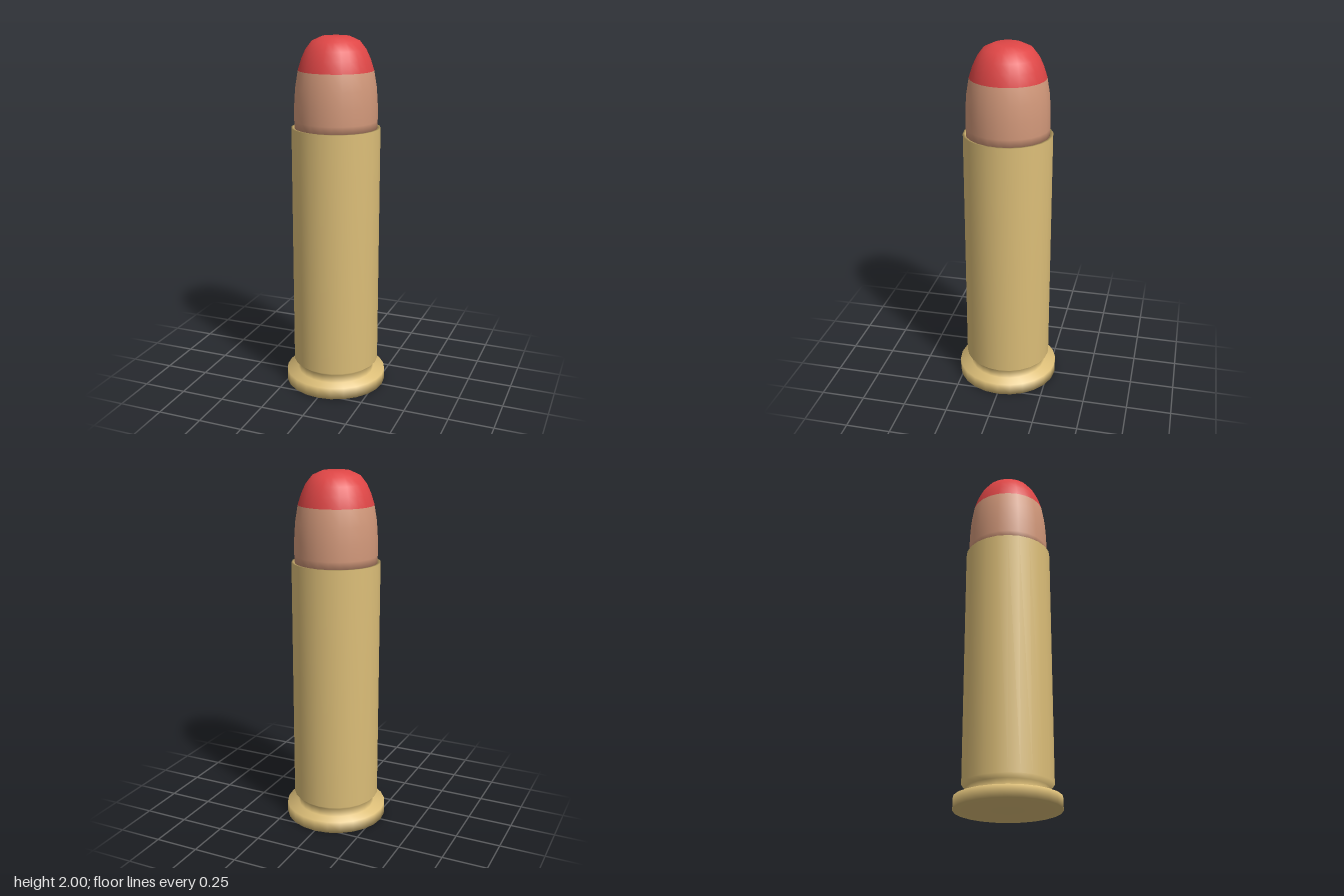
import * as THREE from 'three';

const SIDES = 24;

const material = (name, color) => {
  const m = new THREE.MeshStandardMaterial({ color });
  m.name = name;
  return m;
};

// Smooth turned part from [radius, height] pairs, listed bottom to top
const turned = (profile) =>
  new THREE.LatheGeometry(profile.map(([r, y]) => new THREE.Vector2(r, y)), SIDES);

export function createModel() {
  const brass = material('brass', 0xdcbe78);
  const copper = material('copper', 0xd2987a);
  const red = material('red', 0xdf4646);
  const model = new THREE.Group();
  model.name = 'cartridge';

  // Case: flat base, rim, extractor groove, straight wall and open mouth
  const casing = new THREE.Mesh(turned([
    [0, 0], [0.288, 0], [0.288, 0.066], [0.22, 0.068], [0.22, 0.115],
    [0.245, 0.136], [0.245, 1.51], [0.231, 1.51], [0.226, 1.47],
  ]), brass);
  casing.name = 'casing';
  model.add(casing);

  // Bullet: one smooth ogive, copper below and red above the colour line
  const profile = [
    [0, 1.49], [0.226, 1.49], [0.229, 1.55], [0.228, 1.64], [0.222, 1.73], [0.207, 1.82],
    [0.188, 1.88], [0.165, 1.93], [0.13, 1.975], [0.075, 2], [0, 2],
  ];
  const geometry = turned(profile);
  const bands = profile.length - 1;
  const copperBands = 5;
  for (let i = 0; i < SIDES; i++) {
    const start = i * bands * 6;
    geometry.addGroup(start, copperBands * 6, 0);
    geometry.addGroup(start + copperBands * 6, (bands - copperBands) * 6, 1);
  }
  const bullet = new THREE.Mesh(geometry, [copper, red]);
  bullet.name = 'bullet';
  model.add(bullet);

  return model;
}
